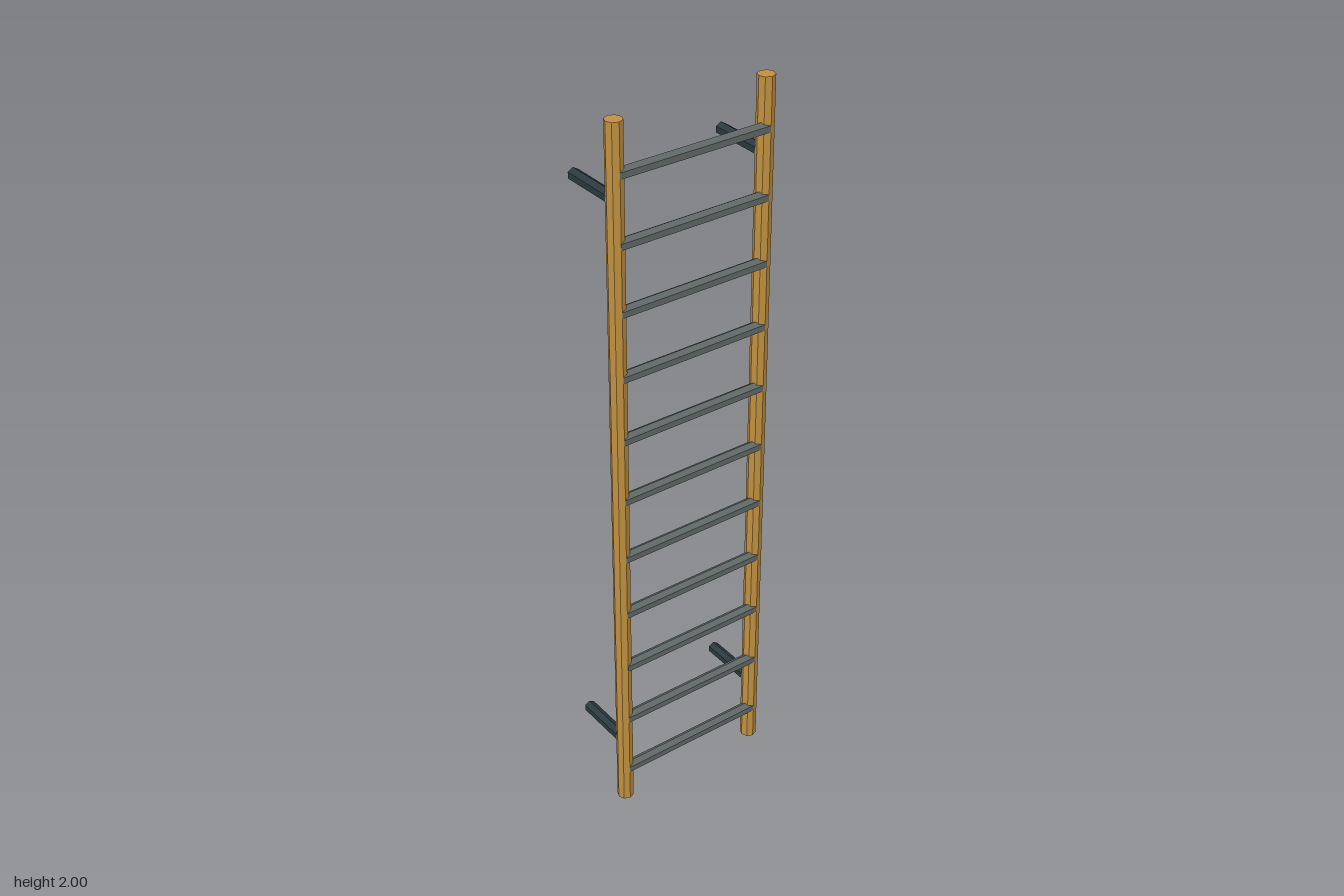
import * as THREE from 'three';

const RAIL_X = 0.214, RAIL_Z = 0.072, BAR_R = 0.0165;

export function createModel() {
  const group = new THREE.Group();
  const material = (color) => new THREE.MeshStandardMaterial({ color, flatShading: true });
  const wood = material(0xc09040);
  const steel = material(0x5f6866);
  const darkSteel = material(0x2c393e);

  const add = (name, geometry, mat, x, y, z) => {
    const mesh = new THREE.Mesh(geometry, mat);
    mesh.name = name;
    mesh.position.set(x, y, z);
    group.add(mesh);
  };

  // Octagonal side rails
  const rail = new THREE.CylinderGeometry(0.0225, 0.0225, 2, 8);

  // Hexagonal wall brackets, running back from the rail centres
  const bracketLength = RAIL_Z + 0.095;
  const bracket = new THREE.CylinderGeometry(BAR_R, BAR_R, bracketLength, 6).rotateX(Math.PI / 2);

  for (const [side, x] of [['left', RAIL_X], ['right', -RAIL_X]]) {
    add(side + 'Rail', rail, wood, x, 1, RAIL_Z);
    add(side + 'LowerBracket', bracket, darkSteel, x, 0.2, RAIL_Z - bracketLength / 2);
    add(side + 'UpperBracket', bracket, darkSteel, x, 1.805, RAIL_Z - bracketLength / 2);
  }

  // Hexagonal rungs, edge up, set slightly forward of the rails
  const rung = new THREE.CylinderGeometry(BAR_R, BAR_R, RAIL_X * 2, 6)
    .rotateY(Math.PI / 6)
    .rotateZ(Math.PI / 2);
  for (let i = 0; i < 11; i++) {
    add('rung' + (i + 1), rung, steel, 0, 0.103 + i * 0.1767, 0.0805);
  }

  return group;
}
